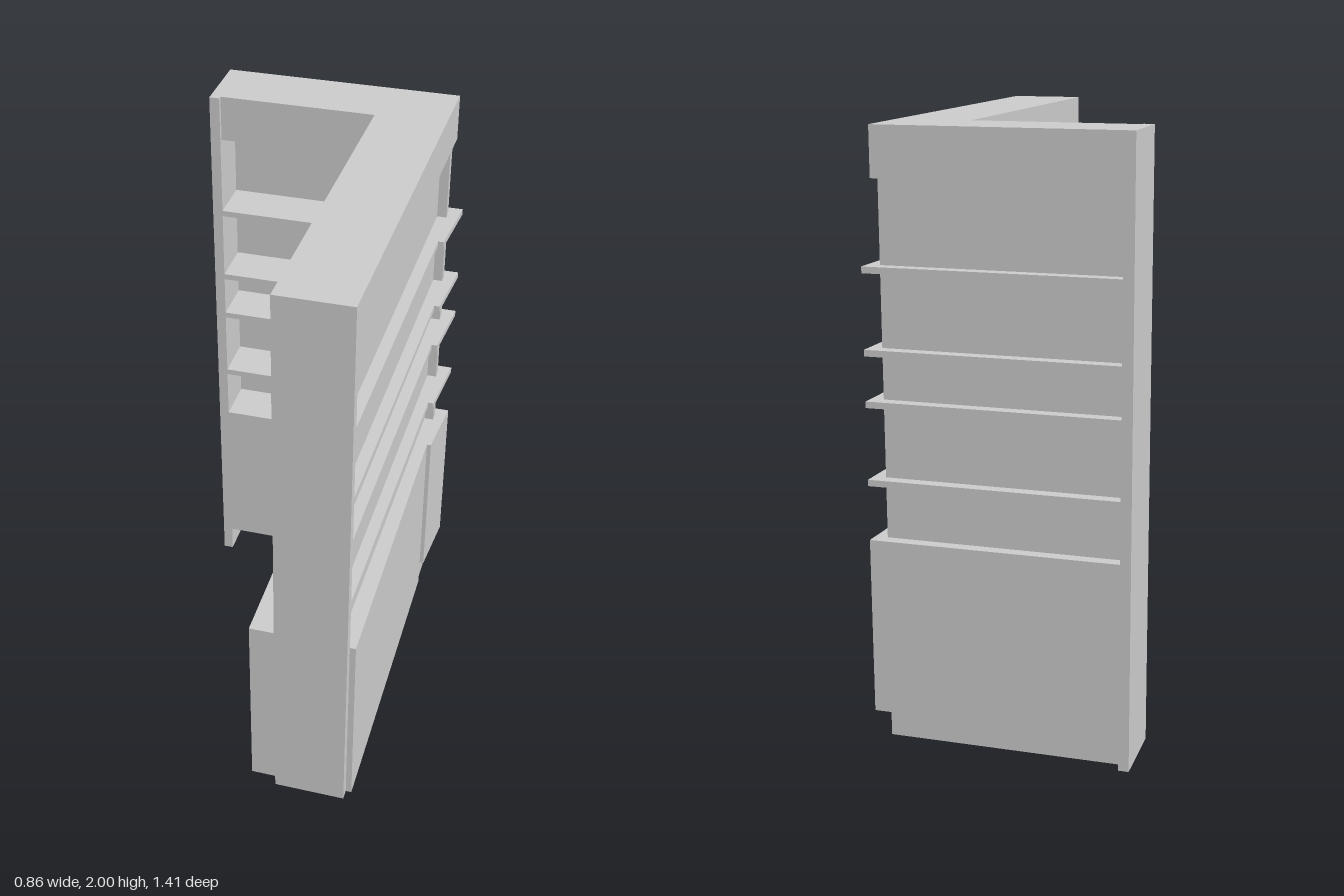
import * as THREE from 'three';

const material = new THREE.MeshStandardMaterial({ color: 0xcccccc, flatShading: true });

// Upright prism from a plan outline of [x, z] corners between two heights
function prism(name, plan, y0, y1) {
  const shape = new THREE.Shape(plan.map(([x, z]) => new THREE.Vector2(x, -z)));
  const geometry = new THREE.ExtrudeGeometry(shape, { depth: y1 - y0, bevelEnabled: false });
  geometry.rotateX(-Math.PI / 2).translate(0, y0, 0);
  const mesh = new THREE.Mesh(geometry, material);
  mesh.name = name;
  return mesh;
}

const rect = (x0, x1, z0, z1) => [[x0, z0], [x1, z0], [x1, z1], [x0, z1]];

export function createModel() {
  const group = new THREE.Group();
  group.name = 'cornerShelvingUnit';

  const back = -0.705, front = 0.705, frontInner = 0.67;
  const wingFront = -0.465, sideInner = -0.395;
  const cabinetTop = 0.69, kick = 0.1, headerBottom = 1.84;

  // Full-height end panels of the two wings
  group.add(prism('backWingEndPanel', rect(-0.43, sideInner, back, wingFront), 0, 2));
  group.add(prism('longWingEndPanel', rect(0.125, 0.37, frontInner, front), 0, headerBottom));

  // L-shaped header across both wings
  group.add(prism('header', [
    [sideInner, back], [0.388, back], [0.37, front], [0.125, front],
    [0.142, -0.48], [sideInner, -0.48],
  ], headerBottom, 2));

  // Base cabinets: the long one stands on the floor, the back one is raised
  group.add(prism('longCabinet', rect(0.03, 0.39, wingFront, frontInner), 0, cabinetTop));
  group.add(prism('backCabinet', [
    [sideInner, back], [0.425, back], [0.405, wingFront], [sideInner, wingFront],
  ], kick, cabinetTop));
  group.add(prism('longCabinetPlinth', rect(0.03, 0.385, -0.63, wingFront), 0, kick));
  group.add(prism('backCabinetPlinth', rect(sideInner, 0.385, -0.665, -0.63), 0, kick));

  // Recessed partitions behind the shelves
  group.add(prism('backWingPartition', rect(sideInner, 0.38, -0.665, -0.63), cabinetTop, headerBottom));
  group.add(prism('longWingPartition', [
    [0.312, -0.63], [0.347, -0.63], [0.332, frontInner], [0.297, frontInner],
  ], cabinetTop, headerBottom));

  // L-shaped shelves, overhanging at the corner
  const shelfPlan = [
    [sideInner, back], [0.425, back], [0.405, -0.455], [0.386, -0.455],
    [0.37, frontInner], [0.127, frontInner], [0.14, wingFront], [sideInner, wingFront],
  ];
  for (const y of [0.87, 1.125, 1.29, 1.55]) group.add(prism('shelf', shelfPlan, y, y + 0.021));

  return group;
}
